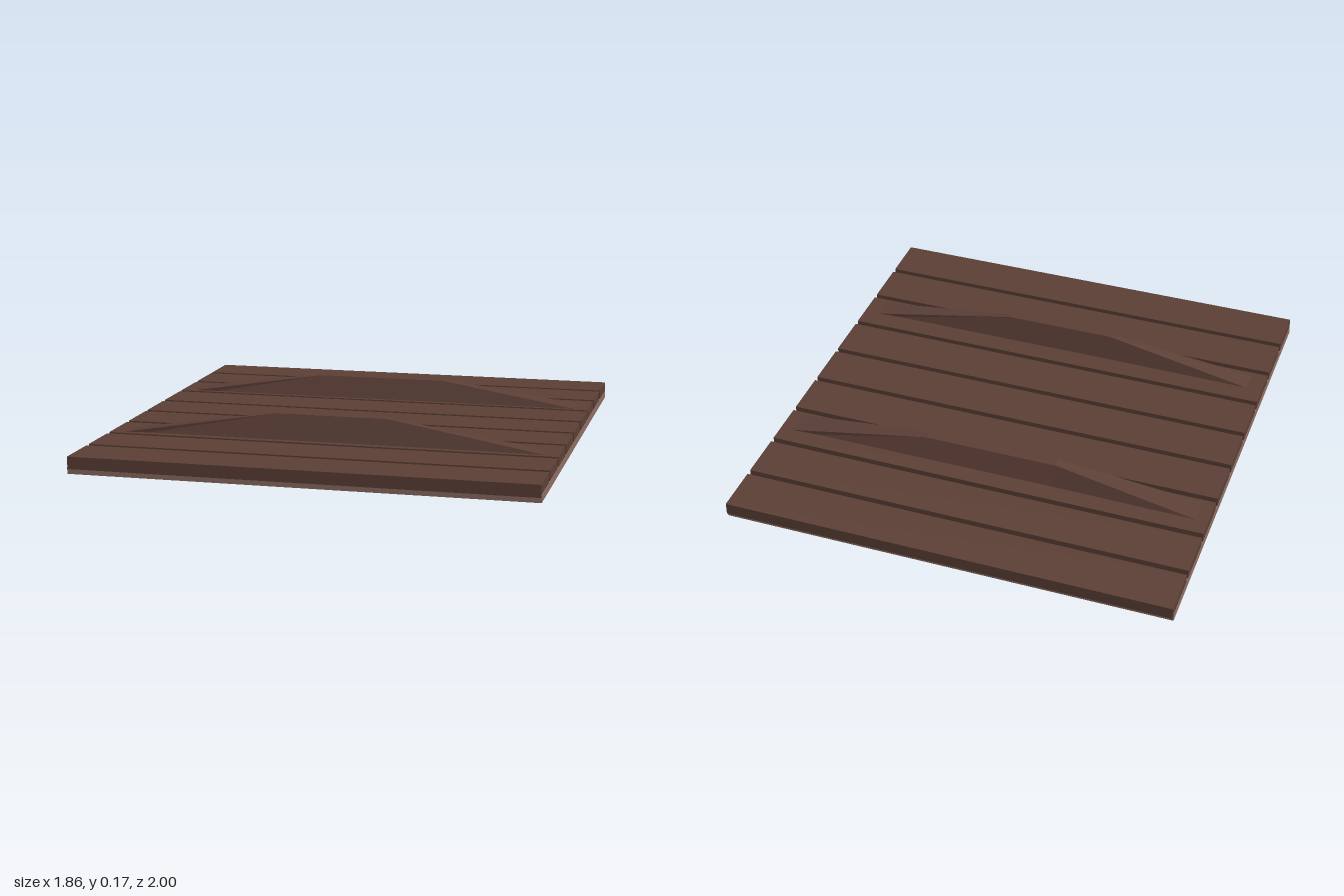
import * as THREE from 'three';

const plankMaterial = new THREE.MeshStandardMaterial({ color: 0x5d4037, flatShading: true });
const baseMaterial = new THREE.MeshStandardMaterial({ color: 0x8d6e63, flatShading: true });

function addBox(group, name, size, position, material) {
  const mesh = new THREE.Mesh(new THREE.BoxGeometry(...size), material);
  mesh.name = name;
  mesh.position.set(...position);
  group.add(mesh);
}

// Ridge lofted along x: four-cornered sections, narrow and tall in the middle
function ridgeGeometry({ front, back, topFront, topBack, height, flat, endFront, endBack }) {
  const low = 0.05, deck = 0.07;
  const end = (s) => [
    [s * endFront, low, front], [s * endFront, deck, front],
    [s * endBack, deck, back], [s * endBack, low, back],
  ];
  const middle = (s) => [
    [s * flat, low, front], [s * flat, height, topFront],
    [s * flat, height, topBack], [s * flat, low, back],
  ];
  const sections = [end(-1), middle(-1), middle(1), end(1)];
  const positions = [];
  const quad = (a, b, c, d) => positions.push(...a, ...b, ...c, ...a, ...c, ...d);
  for (let i = 0; i < 3; i++) {
    for (let j = 0; j < 4; j++) {
      const k = (j + 1) % 4;
      quad(sections[i][j], sections[i + 1][j], sections[i + 1][k], sections[i][k]);
    }
  }
  const [first, last] = [sections[0], sections[3]];
  quad(first[0], first[1], first[2], first[3]);
  quad(last[3], last[2], last[1], last[0]);
  const geometry = new THREE.BufferGeometry();
  geometry.setAttribute('position', new THREE.Float32BufferAttribute(positions, 3));
  geometry.computeVertexNormals();
  return geometry;
}

export function createModel() {
  const group = new THREE.Group();
  group.name = 'plankPanel';

  // Backing board under the planks
  addBox(group, 'backingBoard', [1.864, 0.03, 1.985], [0, 0.015, 0.0045], baseMaterial);

  // Nine planks with narrow gaps
  for (let i = 0; i < 9; i++) {
    addBox(group, `plank${i + 1}`, [1.86, 0.05, 0.2], [0, 0.045, -0.9 + i * 0.225], plankMaterial);
  }

  // Two tapered ridges across the deck
  const ridges = {
    frontRidge: { front: 0.525, back: 0.435, topFront: 0.488, topBack: 0.467, height: 0.172, flat: 0.23, endFront: 0.87, endBack: 0.86 },
    backRidge: { front: -0.367, back: -0.477, topFront: -0.402, topBack: -0.443, height: 0.16, flat: 0.28, endFront: 0.87, endBack: 0.88 },
  };
  for (const [name, shape] of Object.entries(ridges)) {
    const mesh = new THREE.Mesh(ridgeGeometry(shape), plankMaterial);
    mesh.name = name;
    group.add(mesh);
  }
  return group;
}
